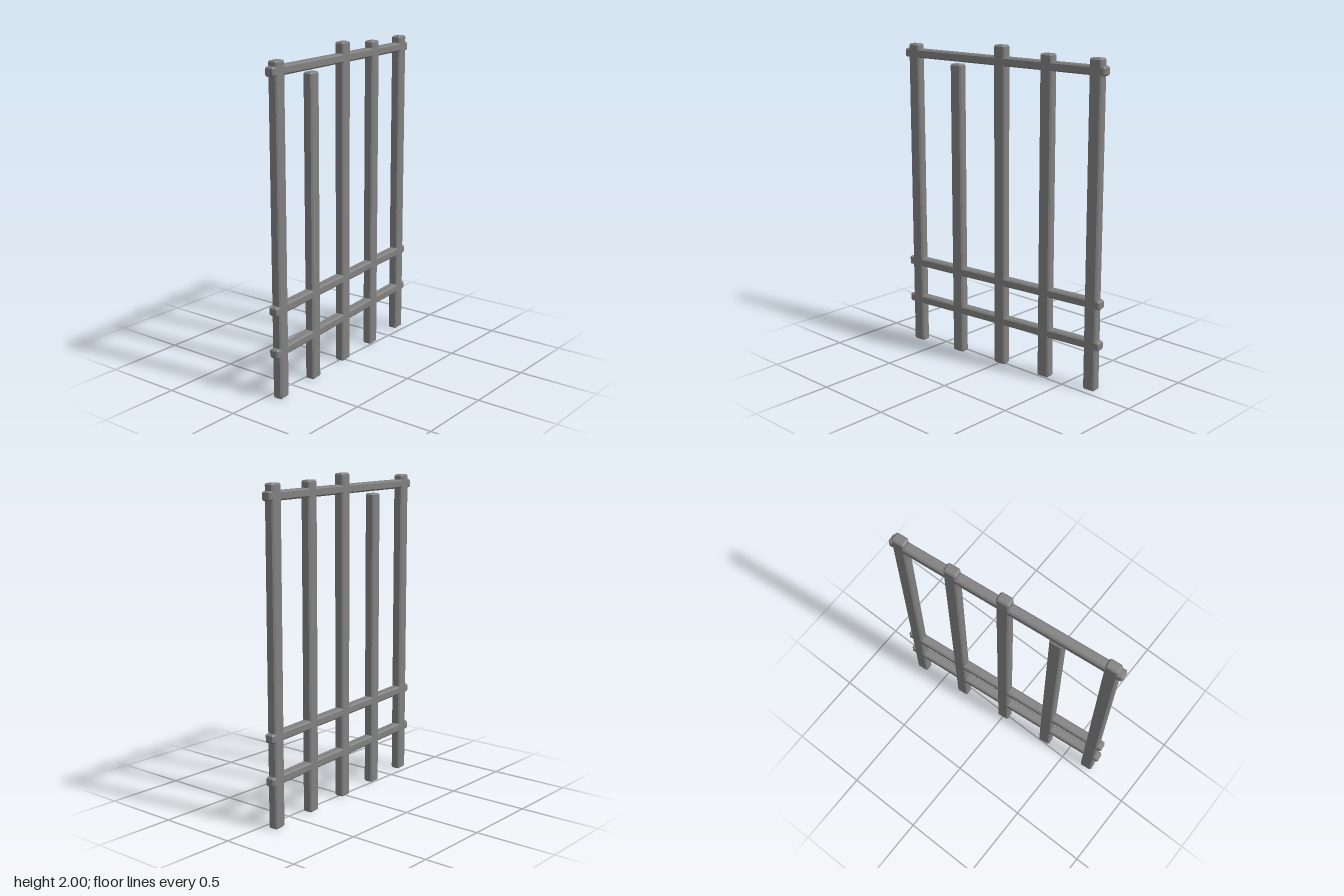
import * as THREE from 'three';
import { ConvexGeometry } from 'three/addons/geometries/ConvexGeometry.js';

const material = new THREE.MeshStandardMaterial({ color: 0x808080, flatShading: true });

// Box with every edge and corner chamfered by b
function chamferedBar(name, w, h, d, b, x, y) {
  const points = [];
  const [hx, hy, hz] = [w / 2, h / 2, d / 2];
  for (const sx of [-1, 1]) for (const sy of [-1, 1]) for (const sz of [-1, 1]) {
    points.push(
      new THREE.Vector3(sx * hx, sy * (hy - b), sz * (hz - b)),
      new THREE.Vector3(sx * (hx - b), sy * hy, sz * (hz - b)),
      new THREE.Vector3(sx * (hx - b), sy * (hy - b), sz * hz)
    );
  }
  const mesh = new THREE.Mesh(new ConvexGeometry(points), material);
  mesh.name = name;
  mesh.position.set(x, y, 0);
  return mesh;
}

export function createModel() {
  const model = new THREE.Group();
  model.name = 'barredFence';

  // Fence panel, turned slightly about the vertical
  const panel = new THREE.Group();
  panel.name = 'panel';
  panel.rotation.y = 0.1;
  model.add(panel);

  // Upright posts of uneven height; the second stops short of the top rail
  const postTops = [1.963, 1.862, 2, 1.975, 1.975];
  postTops.forEach((top, i) => {
    panel.add(chamferedBar(`post${i + 1}`, 0.081, top, 0.06, 0.009, 0.003 + (i - 2) * 0.335, top / 2));
  });

  // Horizontal rails, flush with the faces of the posts
  const rails = { lowerRail: 0.288, middleRail: 0.544, topRail: 1.905 };
  for (const [name, y] of Object.entries(rails)) {
    panel.add(chamferedBar(name, 1.474, 0.054, 0.06, 0.009, 0, y));
  }
  return model;
}
